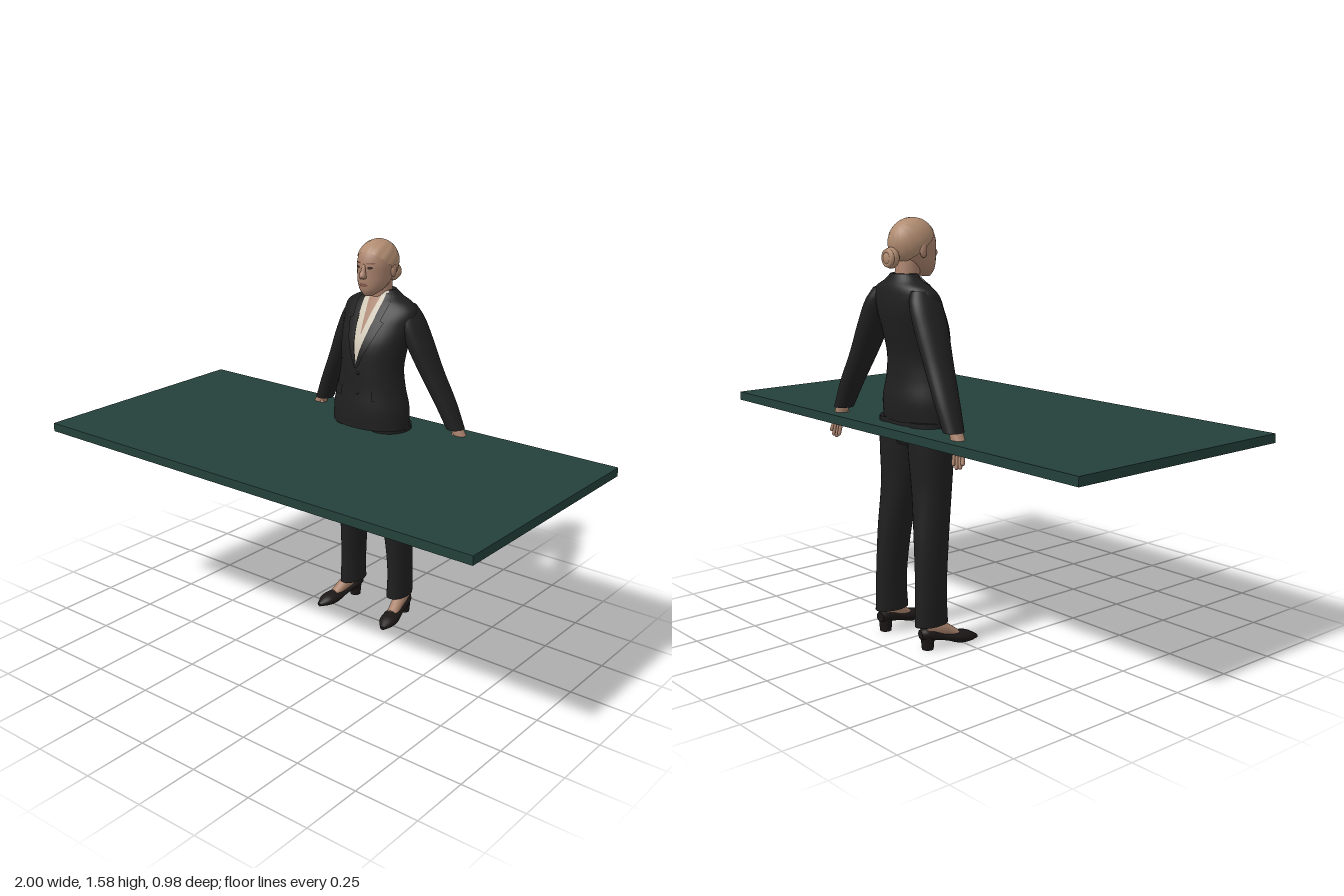
import * as THREE from 'three';

const mat = (name, color) => {
  const m = new THREE.MeshStandardMaterial({ color });
  m.name = name;
  return m;
};

// Rows are [y, centreX, halfWidth, zFront, zBack], smoothly interpolated.
function profile(rows) {
  const cubic = new THREE.CubicInterpolant(rows.map(r => r[0]), rows.flatMap(r => r.slice(1)), 4);
  return y => Array.from(cubic.evaluate(y));
}

// Closed body skinned over elliptical rings.
function loft(rows, steps = 5, sides = 32) {
  const at = profile(rows), pos = [], index = [], ys = [];
  rows.forEach((r, i) => {
    if (i) for (let k = 1; k <= steps; k++) ys.push(THREE.MathUtils.lerp(rows[i - 1][0], r[0], k / steps));
    else ys.push(r[0]);
  });
  const ring = y => {
    const [cx, rx, zf, zb] = at(y);
    for (let j = 0; j < sides; j++) {
      const a = j / sides * Math.PI * 2;
      pos.push(cx + rx * Math.cos(a), y, (zf + zb) / 2 + (zf - zb) / 2 * Math.sin(a));
    }
  };
  ys.forEach(ring);
  for (let i = 0; i < ys.length - 1; i++) for (let j = 0; j < sides; j++) {
    const a = i * sides + j, b = i * sides + (j + 1) % sides;
    index.push(a, a + sides, b, b, a + sides, b + sides);
  }
  for (const [y, top] of [[ys[0], false], [ys[ys.length - 1], true]]) {
    const base = pos.length / 3;
    ring(y);
    const [cx, , zf, zb] = at(y);
    pos.push(cx, y, (zf + zb) / 2);
    for (let j = 0; j < sides; j++) {
      const a = base + j, b = base + (j + 1) % sides;
      index.push(base + sides, ...(top ? [b, a] : [a, b]));
    }
  }
  return surface(pos, index);
}

function surface(pos, index) {
  const g = new THREE.BufferGeometry();
  g.setAttribute('position', new THREE.Float32BufferAttribute(pos, 3));
  g.setIndex(index);
  g.computeVertexNormals();
  return g;
}

// Thin cloth panel lying on the front of a lofted body; rows are [y, x0, x1].
function panel(bodyRows, rows, lift, steps = 6, cols = 8) {
  const at = profile(bodyRows), pos = [], index = [];
  const total = (rows.length - 1) * steps;
  for (let i = 0; i <= total; i++) {
    const s = Math.min(Math.floor(i / steps), rows.length - 2), t = i / steps - s;
    const [y, x0, x1] = rows[s].map((v, k) => THREE.MathUtils.lerp(v, rows[s + 1][k], t));
    const [, rx, zf, zb] = at(y);
    for (let j = 0; j <= cols; j++) {
      const x = THREE.MathUtils.lerp(x0, x1, j / cols);
      const z = (zf + zb) / 2 + (zf - zb) / 2 * Math.sqrt(Math.max(0, 1 - (x / rx) ** 2));
      pos.push(x, y, z + lift);
      if (i < total && j < cols) {
        const a = i * (cols + 1) + j, u = a + cols + 1;
        index.push(a, a + 1, u, a + 1, u + 1, u);
      }
    }
  }
  return surface(pos, index);
}
const flip = rows => rows.map(([y, a, b]) => [y, -b, -a]);

// Round limb segment between two points.
function segment(a, b, r) {
  const p = new THREE.Vector3(...a), d = new THREE.Vector3(...b).sub(p);
  const g = new THREE.CapsuleGeometry(r, d.length(), 4, 10);
  g.applyQuaternion(new THREE.Quaternion().setFromUnitVectors(new THREE.Vector3(0, 1, 0), d.clone().normalize()));
  return g.translate(...p.addScaledVector(d, 0.5).toArray());
}
const ball = (x, y, z, rx, ry, rz) => new THREE.SphereGeometry(1, 20, 14).scale(rx, ry, rz).translate(x, y, z);

export function createModel() {
  const root = new THREE.Group();
  const skin = mat('skin', 0xa9826c), hair = mat('hair', 0xb08b70), suit = mat('suit', 0x1f1f20);
  const shirt = mat('shirt', 0xcfc6b4), shoe = mat('shoeLeather', 0x1b1716), board = mat('tableGreen', 0x24403a);
  const lip = mat('lips', 0x85594d), dark = mat('eyes', 0x3a2c26);
  for (const m of [suit, shirt, skin]) m.side = THREE.DoubleSide;
  const add = (name, geo, m, parent = root) => {
    const mesh = new THREE.Mesh(geo, m);
    mesh.name = name;
    parent.add(mesh);
    return mesh;
  };

  // Table top
  add('tableTop', new THREE.BoxGeometry(2, 0.034, 0.98).translate(0, 0.815, 0), board);

  // Jacket
  const torso = [
    [0.845, 0, 0.17, -0.2, -0.425], [0.92, 0, 0.167, -0.2, -0.43], [1.0, 0, 0.148, -0.208, -0.42],
    [1.08, 0, 0.136, -0.212, -0.42], [1.18, 0, 0.146, -0.225, -0.44], [1.25, 0, 0.157, -0.258, -0.452],
    [1.31, 0, 0.162, -0.297, -0.45], [1.335, 0, 0.135, -0.315, -0.445],
    [1.355, 0, 0.09, -0.33, -0.435], [1.38, 0, 0.058, -0.34, -0.422]];
  add('jacket', loft(torso), suit);
  add('shirtFront', panel(torso, [[1.1, -0.002, 0.002], [1.25, -0.035, 0.035], [1.35, -0.046, 0.046], [1.378, -0.046, 0.046]], 0.003), shirt);
  add('neckOpening', panel(torso, [[1.22, -0.001, 0.001], [1.3, -0.014, 0.014], [1.378, -0.03, 0.03]], 0.005), skin);
  const lapel = [[1.09, -0.004, 0.006], [1.2, 0.022, 0.056], [1.27, 0.036, 0.082], [1.275, 0.037, 0.066], [1.34, 0.045, 0.078], [1.37, 0.044, 0.062]];
  const collar = [[1.27, 0.022, 0.036], [1.34, 0.024, 0.05], [1.378, 0.028, 0.05]];
  const flap = [[0.965, 0.075, 0.146], [1.005, 0.072, 0.142]];
  for (const f of [r => r, flip]) {
    add('lapel', panel(torso, f(lapel), 0.008), suit);
    add('shirtCollar', panel(torso, f(collar), 0.006), shirt);
    add('pocketFlap', panel(torso, f(flap), 0.006), suit);
  }
  for (const y of [1.07, 0.99]) add('button', ball(0.008, y, -0.208, 0.007, 0.007, 0.003), shoe);

  // Trousers: seat
  add('trouserSeat', loft([[0.755, 0, 0.08, -0.28, -0.4], [0.8, 0, 0.15, -0.245, -0.42], [0.86, 0, 0.162, -0.23, -0.42]]), suit);

  for (const s of [1, -1]) {
    const m = (rows) => rows.map(([y, x, ...r]) => [y, x * s, ...r]);
    const p = (x, y, z) => [x * s, y, z];
    const side = s > 0 ? 'left' : 'right';

    // Sleeve
    add(side + 'Sleeve', loft(m([
      [0.855, 0.33, 0.036, -0.387, -0.464], [0.95, 0.286, 0.041, -0.37, -0.466], [1.08, 0.22, 0.046, -0.345, -0.46],
      [1.2, 0.165, 0.05, -0.325, -0.458], [1.28, 0.13, 0.046, -0.325, -0.45], [1.325, 0.11, 0.035, -0.345, -0.43]])), suit);

    // Hand
    const hand = new THREE.Group();
    hand.name = side + 'Hand';
    root.add(hand);
    add('palm', loft(m([[0.785, 0.364, 0.03, -0.415, -0.446], [0.815, 0.357, 0.031, -0.405, -0.448],
      [0.845, 0.345, 0.026, -0.4, -0.448], [0.88, 0.33, 0.022, -0.405, -0.446]])), skin, hand);
    [[0.342, 0.345, 0.748], [0.357, 0.363, 0.738], [0.372, 0.381, 0.742], [0.386, 0.395, 0.757]].forEach(([x0, x1, y]) =>
      add('finger', segment(p(x0, 0.795, -0.43), p(x1, y, -0.44), 0.0075), skin, hand));
    add('thumb', segment(p(0.335, 0.84, -0.412), p(0.32, 0.785, -0.4), 0.009), skin, hand);

    // Trouser leg
    add(side + 'TrouserLeg', loft(m([
      [0.09, 0.122, 0.044, -0.295, -0.436], [0.2, 0.122, 0.044, -0.3, -0.432], [0.4, 0.112, 0.054, -0.285, -0.425],
      [0.6, 0.093, 0.073, -0.26, -0.412], [0.74, 0.086, 0.083, -0.245, -0.418], [0.85, 0.082, 0.084, -0.235, -0.42]])), suit);

    // Foot and shoe, lofted along their length: [length, x, halfWidth, -bottom, -top]
    const foot = new THREE.Group();
    foot.name = side + 'Foot';
    foot.position.set(0.125 * s, 0, -0.42);
    foot.rotation.y = 0.18 * s;
    root.add(foot);
    add('shoe', loft([[0, 0, 0.018, -0.042, -0.078], [0.025, 0, 0.03, -0.036, -0.085], [0.1, 0, 0.03, -0.022, -0.056],
      [0.16, 0, 0.037, -0.002, -0.05], [0.2, 0, 0.033, -0.001, -0.042], [0.238, 0, 0.01, -0.005, -0.02]]).rotateX(Math.PI / 2), shoe, foot);
    add('instep', loft([[0.02, 0, 0.024, -0.05, -0.125], [0.09, 0, 0.026, -0.04, -0.1], [0.155, 0, 0.022, -0.02, -0.055]]).rotateX(Math.PI / 2), skin, foot);
    add('heel', new THREE.CylinderGeometry(0.027, 0.022, 0.06, 16).translate(0, 0.03, 0.03), shoe, foot);
  }

  // Neck and head
  add('neck', loft([[1.32, 0, 0.05, -0.325, -0.42], [1.37, 0, 0.046, -0.322, -0.412], [1.43, 0, 0.046, -0.31, -0.405]]), skin);
  const face = [
    [1.366, 0, 0.018, -0.267, -0.3], [1.385, 0, 0.042, -0.256, -0.345], [1.41, 0, 0.058, -0.251, -0.38],
    [1.45, 0, 0.068, -0.25, -0.41], [1.5, 0, 0.071, -0.252, -0.42], [1.54, 0, 0.06, -0.272, -0.415], [1.567, 0, 0.03, -0.315, -0.375]];
  add('head', loft(face), skin);
  add('nose', loft([[1.437, 0, 0.013, -0.236, -0.26], [1.447, 0, 0.014, -0.229, -0.26],
    [1.465, 0, 0.01, -0.238, -0.26], [1.492, 0, 0.008, -0.249, -0.265]]), skin);
  add('mouth', panel(face, [[1.405, -0.01, 0.01], [1.411, -0.022, 0.022], [1.418, -0.009, 0.009]], 0.003), lip);
  const eye = [[1.474, 0.021, 0.03], [1.479, 0.016, 0.039], [1.484, 0.021, 0.034]];
  const brow = [[1.494, 0.012, 0.04], [1.499, 0.014, 0.044]];
  for (const f of [r => r, flip]) {
    add('eye', panel(face, f(eye), 0.002), dark);
    add('eyebrow', panel(face, f(brow), 0.003), lip);
  }
  for (const s of [1, -1]) add('ear', ball(0.072 * s, 1.462, -0.347, 0.009, 0.026, 0.015), skin);

  // Swept-back hair with shallow combed ridges, and a low bun
  const cap = new THREE.SphereGeometry(1, 80, 32, 0, Math.PI * 2, 0, 1.75);
  const q = cap.attributes.position, v = new THREE.Vector3();
  for (let i = 0; i < q.count; i++) {
    v.fromBufferAttribute(q, i);
    const ridge = Math.sin(Math.atan2(v.z, v.x) * 14 + v.y * 3) * (1 - v.y * v.y);
    v.multiplyScalar(1 + 0.012 * ridge);
    q.setXYZ(i, v.x, v.y, v.z);
  }
  cap.rotateX(-0.72).scale(0.077, 0.088, 0.092).translate(0, 1.489, -0.343);
  cap.computeVertexNormals();
  hair.side = THREE.DoubleSide;
  add('hair', cap, hair);
  add('bun', ball(0, 1.436, -0.437, 0.036, 0.038, 0.026), hair);
  add('bunTwist', new THREE.TorusGeometry(0.024, 0.01, 10, 24).translate(0, 1.436, -0.45), hair);
  return root;
}
